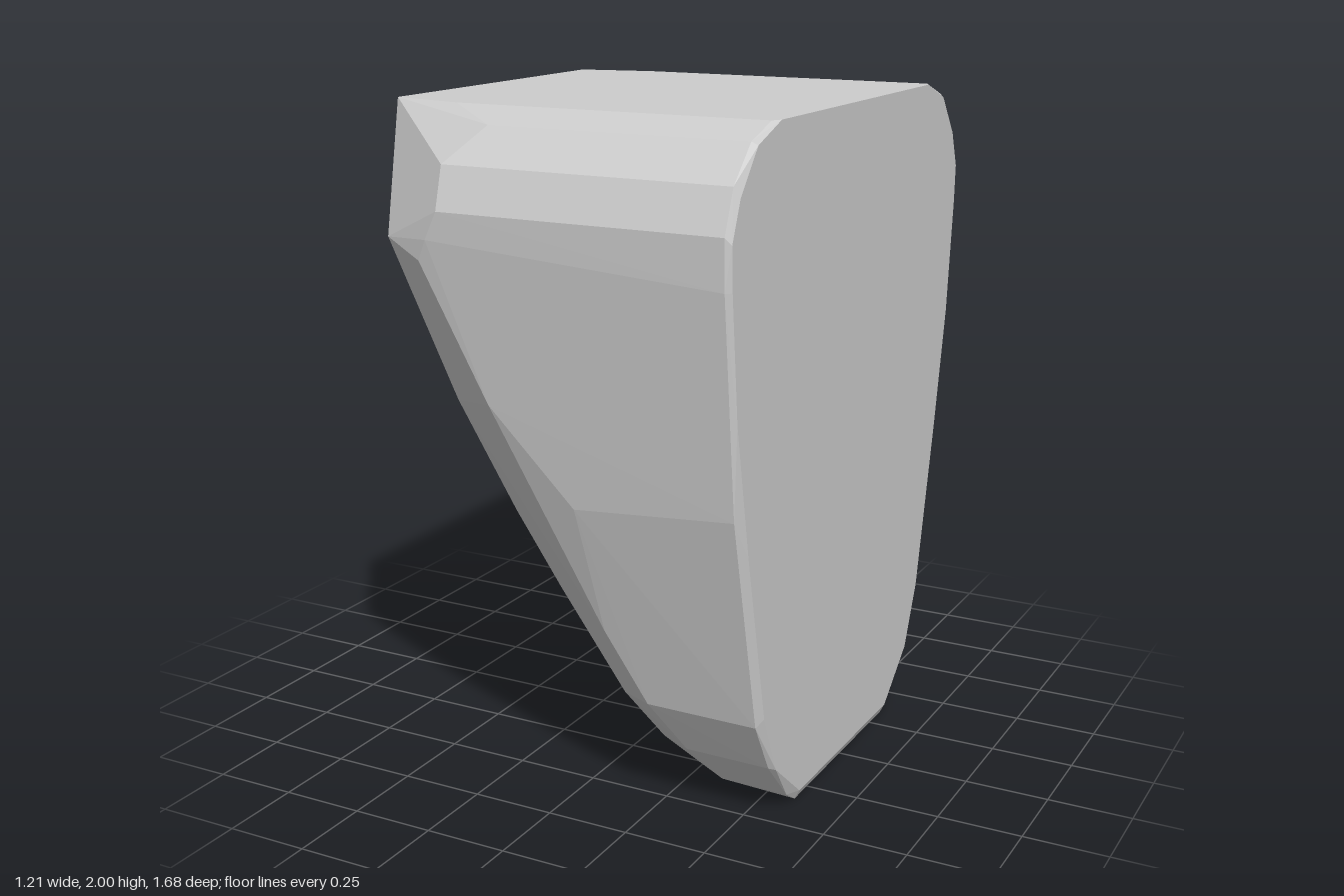
import * as THREE from 'three';
import { ConvexGeometry } from 'three/addons/geometries/ConvexGeometry.js';

// Flat end face outline (y, z half), slightly inset
const endFace = [
  [2, 0.54], [1.95, 0.68], [1.83, 0.78], [1.72, 0.825], [1.6, 0.82], [1.25, 0.785],
  [0.87, 0.71], [0.36, 0.595], [0.17, 0.51], [0.03, 0.34],
];

// Bevel ring just behind the end face (y, z half)
const bevel = [
  [2, 0.57], [1.96, 0.69], [1.86, 0.79], [1.74, 0.838], [1.6, 0.835], [0.98, 0.768],
  [0.34, 0.62], [0.18, 0.53], [0.04, 0.4], [0, 0.34],
];

// Rounded shoulder along the top (x, y, z half)
const shoulder = [
  [-0.605, 2, 0.52], [-0.37, 2, 0.57], [-0.19, 1.96, 0.69],
  [-0.28, 1.86, 0.785], [-0.27, 1.74, 0.833], [-0.31, 1.66, 0.83],
  [-0.34, 1.6, 0.82], [-0.5, 1.64, 0.735], [-0.57, 1.58, 0.61],
];

// Tapering flank, from below the shoulder down to the tip
const flank = [
  [-0.42, 1.2, 0.56], [-0.32, 1.18, 0.68], [-0.15, 1.21, 0.785],
  [-0.32, 0.95, 0.5], [-0.14, 0.97, 0.68], [0.1, 0.94, 0.757],
  [-0.25, 0.81, 0.5], [-0.05, 0.79, 0.635],
  [-0.13, 0.57, 0.45], [0.14, 0.56, 0.665],
];

// Rounded tip at the bottom
const tip = [
  [0, 0.35, 0.36], [0.06, 0.36, 0.47], [0.14, 0.33, 0.55], [0.25, 0.34, 0.615],
  [0.14, 0.12, 0.28], [0.2, 0.15, 0.42], [0.33, 0.18, 0.525],
  [0.22, 0.05, 0.28], [0.38, 0.04, 0.395], [0.33, 0, 0.28],
];

export function createModel() {
  const grey = new THREE.MeshStandardMaterial({ color: 0xcccccc, flatShading: true });
  grey.name = 'light grey';

  const half = [
    ...endFace.map(([y, z]) => [0.605, y, z]),
    ...bevel.map(([y, z]) => [0.59, y, z]),
    ...shoulder, ...flank, ...tip,
  ];

  // Mirror front to back and wrap in a faceted hull
  const points = half.flatMap(([x, y, z]) => [
    new THREE.Vector3(x, y, z), new THREE.Vector3(x, y, -z),
  ]);
  const body = new THREE.Mesh(new ConvexGeometry(points), grey);
  body.name = 'taperedBlock';

  const group = new THREE.Group();
  group.name = 'taperedBlockModel';
  group.add(body);
  return group;
}
